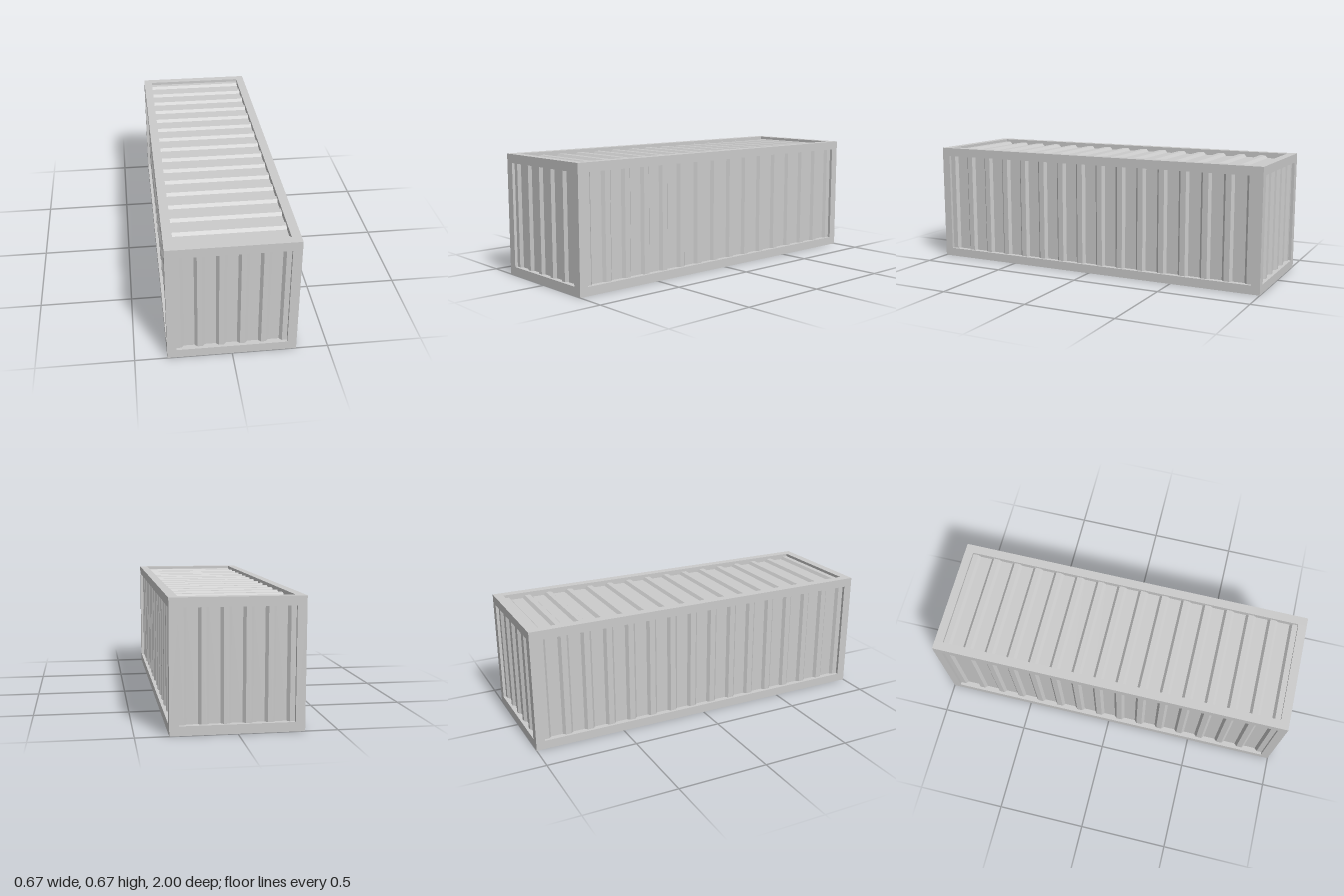
import * as THREE from 'three';

const W = 0.667, H = 0.667, L = 2, RAIL = 0.048;
const RIDGE = -0.016, GROOVE = -0.031, BACK = -0.042; // depths below the frame face

const material = new THREE.MeshStandardMaterial({ color: 0xcccccc, flatShading: true });

// Corrugated sheet: trapezoid grooves repeat along "run", sheet faces "normal"
function corrugatedPanel(name, run, normal, offset, length, height, count, pitch, floorHalf) {
  const half = length / 2 + 0.004;
  const mouthHalf = floorHalf + 0.014;
  const points = [[-half, BACK], [-half, RIDGE]];
  for (let i = 0; i < count; i++) {
    const c = (i - (count - 1) / 2) * pitch;
    points.push([c - mouthHalf, RIDGE], [c - floorHalf, GROOVE], [c + floorHalf, GROOVE], [c + mouthHalf, RIDGE]);
  }
  points.push([half, RIDGE], [half, BACK]);
  const shape = new THREE.Shape(points.map(([x, y]) => new THREE.Vector2(x, y)));
  const depth = height + 0.008;
  const geometry = new THREE.ExtrudeGeometry(shape, { depth, bevelEnabled: false });
  geometry.translate(0, offset, -depth / 2);
  const u = new THREE.Vector3(...run), n = new THREE.Vector3(...normal);
  geometry.applyMatrix4(new THREE.Matrix4().makeBasis(u, n, u.clone().cross(n)));
  const mesh = new THREE.Mesh(geometry, material);
  mesh.name = name;
  mesh.position.y = H / 2;
  return mesh;
}

function bar(name, size, x, y, z) {
  const mesh = new THREE.Mesh(new THREE.BoxGeometry(...size), material);
  mesh.name = name;
  mesh.position.set(x, y + H / 2, z);
  return mesh;
}

export function createModel() {
  const model = new THREE.Group();
  model.name = 'shippingContainer';

  // Frame: four long rails, four cross rails, four corner posts
  const frame = new THREE.Group();
  frame.name = 'frame';
  const ex = (W - RAIL) / 2, ey = (H - RAIL) / 2, ez = (L - RAIL) / 2;
  for (const a of [-1, 1]) {
    for (const b of [-1, 1]) {
      frame.add(bar('longRail', [RAIL, RAIL, L], a * ex, b * ey, 0));
      frame.add(bar('crossRail', [W - 2 * RAIL, RAIL, RAIL], 0, a * ey, b * ez));
      frame.add(bar('cornerPost', [RAIL, H - 2 * RAIL, RAIL], a * ex, 0, b * ez));
    }
  }
  model.add(frame);

  // Panels on all six sides
  const shortLen = W - 2 * RAIL, longLen = L - 2 * RAIL;
  const end = [L / 2, shortLen, shortLen, 5, 0.109, 0.0275];
  const side = [W / 2, longLen, shortLen, 15, 0.125, 0.033];
  model.add(
    corrugatedPanel('frontPanel', [1, 0, 0], [0, 0, 1], ...end),
    corrugatedPanel('backPanel', [1, 0, 0], [0, 0, -1], ...end),
    corrugatedPanel('leftPanel', [0, 0, 1], [1, 0, 0], ...side),
    corrugatedPanel('rightPanel', [0, 0, 1], [-1, 0, 0], ...side),
    corrugatedPanel('roofPanel', [0, 0, 1], [0, 1, 0], ...side),
    corrugatedPanel('floorPanel', [0, 0, 1], [0, -1, 0], ...side)
  );
  return model;
}
